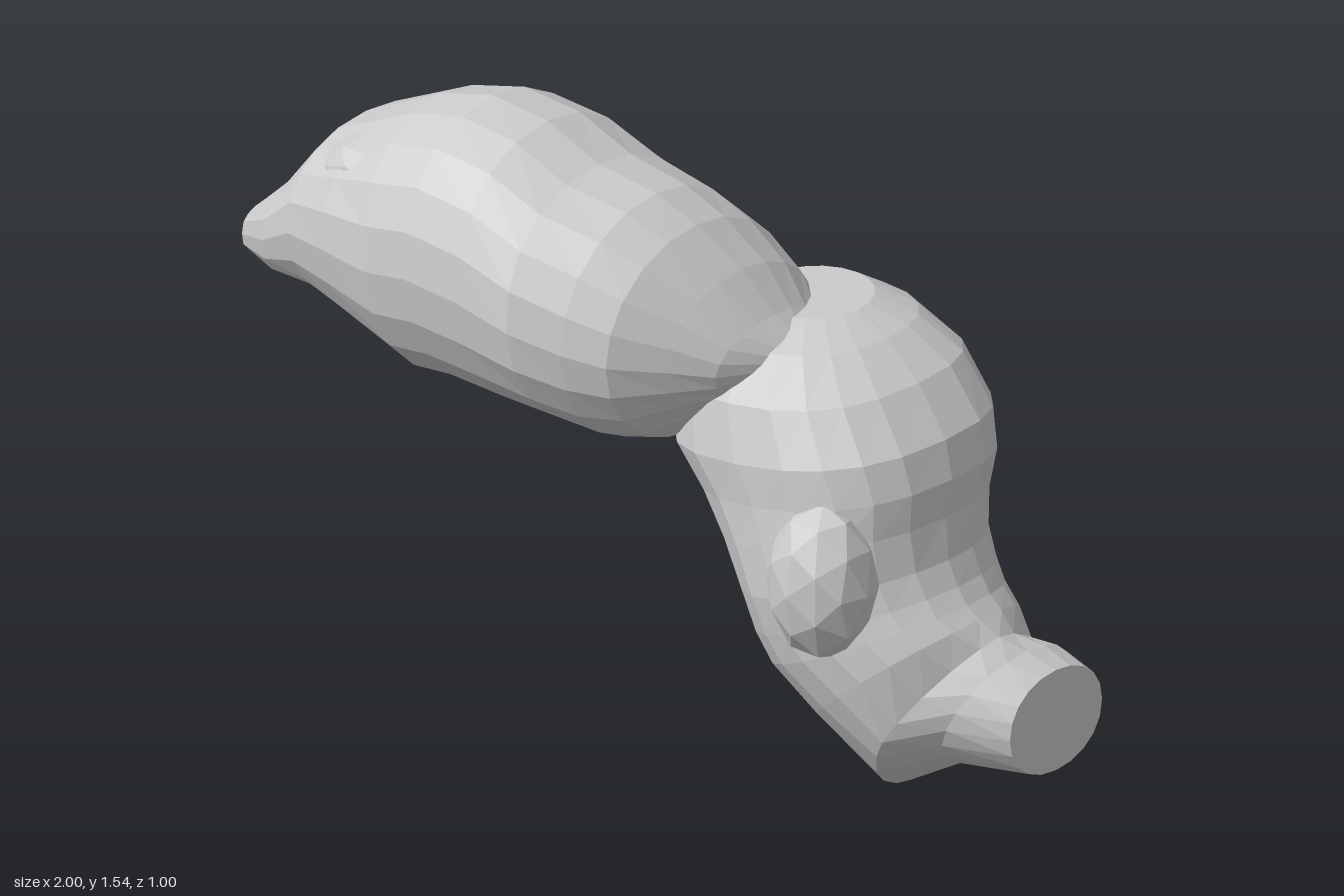
import * as THREE from 'three';

const SIDES = 20;
const material = new THREE.MeshStandardMaterial({ color: 0xcccccc, flatShading: true });

const bend = (v, power) => Math.sign(v) * Math.abs(v) ** power;

// Loft through oval sections: [topX, topY, bottomX, bottomY, zMin, zMax, power]
// A power below 1 makes the oval squarer, above 1 more pointed.
function loft(name, sections) {
  const pos = [], index = [];
  for (const [tx, ty, bx, by, z0, z1, power = 1] of sections) {
    for (let j = 0; j < SIDES; j++) {
      const a = (j / SIDES) * Math.PI * 2;
      const s = bend(Math.sin(a), power) / 2;
      const c = bend(Math.cos(a), power) / 2;
      pos.push((tx + bx) / 2 + (tx - bx) * s, (ty + by) / 2 + (ty - by) * s,
        (z0 + z1) / 2 + (z1 - z0) * c);
    }
  }
  const last = sections.length - 1;
  for (let i = 0; i < last; i++) {
    for (let j = 0; j < SIDES; j++) {
      const k = (j + 1) % SIDES;
      const a = i * SIDES + j, b = i * SIDES + k;
      index.push(a, a + SIDES, b, b, a + SIDES, b + SIDES);
    }
  }
  // flat end caps
  for (let j = 1; j < SIDES - 1; j++) {
    const e = last * SIDES;
    index.push(0, j, j + 1, e, e + j + 1, e + j);
  }
  const geo = new THREE.BufferGeometry();
  geo.setAttribute('position', new THREE.Float32BufferAttribute(pos, 3));
  geo.setIndex(index);
  const flat = geo.toNonIndexed();
  flat.computeVertexNormals();
  const mesh = new THREE.Mesh(flat, material);
  mesh.name = name;
  return mesh;
}

// Low rounded swelling
function bump(name, position, radii) {
  const mesh = new THREE.Mesh(new THREE.IcosahedronGeometry(1, 1), material);
  mesh.name = name;
  mesh.position.set(...position);
  mesh.scale.set(...radii);
  return mesh;
}

export function createModel() {
  const group = new THREE.Group();
  group.name = 'bentTwoLobedBody';

  // upper lobe, running along x and narrowing to a blunt end
  group.add(loft('upperLobe', [
    [-1, 1.17, -1, 1.04, 0.13, 0.43, 0.7],
    [-0.9, 1.27, -0.9, 1.0, 0.03, 0.47, 0.82],
    [-0.82, 1.4, -0.8, 0.97, -0.09, 0.48, 0.9],
    [-0.7, 1.46, -0.67, 0.92, -0.12, 0.5, 0.94],
    [-0.6, 1.51, -0.5, 0.84, -0.15, 0.5, 0.96],
    [-0.46, 1.54, -0.4, 0.84, -0.19, 0.49, 0.96],
    [-0.3, 1.52, -0.25, 0.83, -0.21, 0.48, 0.96],
    [-0.15, 1.45, -0.1, 0.83, -0.23, 0.47, 0.96],
    [0, 1.41, 0, 0.8, -0.25, 0.42],
    [0.1, 1.35, 0.1, 0.82, -0.26, 0.37],
    [0.2, 1.25, 0.18, 0.88, -0.25, 0.26],
    [0.28, 1.15, 0.25, 0.94, -0.21, 0.17],
    [0.33, 1.1, 0.31, 0.98, -0.14, 0.06],
  ]));

  // lower lobe, dropping from the shoulder and turning out to a cut end
  group.add(loft('lowerLobe', [
    [0.38, 1.13, 0.1, 1.13, -0.35, -0.05],
    [0.48, 1.09, 0.02, 1.07, -0.43, 0.05, 0.85],
    [0.6, 1.02, -0.03, 0.94, -0.49, 0.15, 0.8],
    [0.7, 0.91, -0.01, 0.8, -0.5, 0.19, 0.8],
    [0.73, 0.82, 0.08, 0.7, -0.48, 0.19, 0.84],
    [0.73, 0.73, 0.16, 0.6, -0.45, 0.2, 0.9],
    [0.75, 0.63, 0.22, 0.48, -0.43, 0.21],
    [0.78, 0.57, 0.26, 0.37, -0.42, 0.2],
    [0.81, 0.53, 0.31, 0.29, -0.41, 0.19],
    [0.84, 0.5, 0.45, 0.17, -0.4, 0.16],
    [0.88, 0.46, 0.6, 0, -0.4, 0.11, 1.25],
    [0.93, 0.425, 0.79, 0.11, -0.39, 0.02],
    [1, 0.39, 1, 0.13, -0.37, -0.05, 0.95],
  ]));

  // swellings on the front of each lobe
  group.add(bump('lowerBump', [0.58, 0.61, 0.14], [0.14, 0.2, 0.13]));
  group.add(bump('upperBump', [-0.68, 1.33, 0.34], [0.12, 0.1, 0.1]));

  return group;
}
